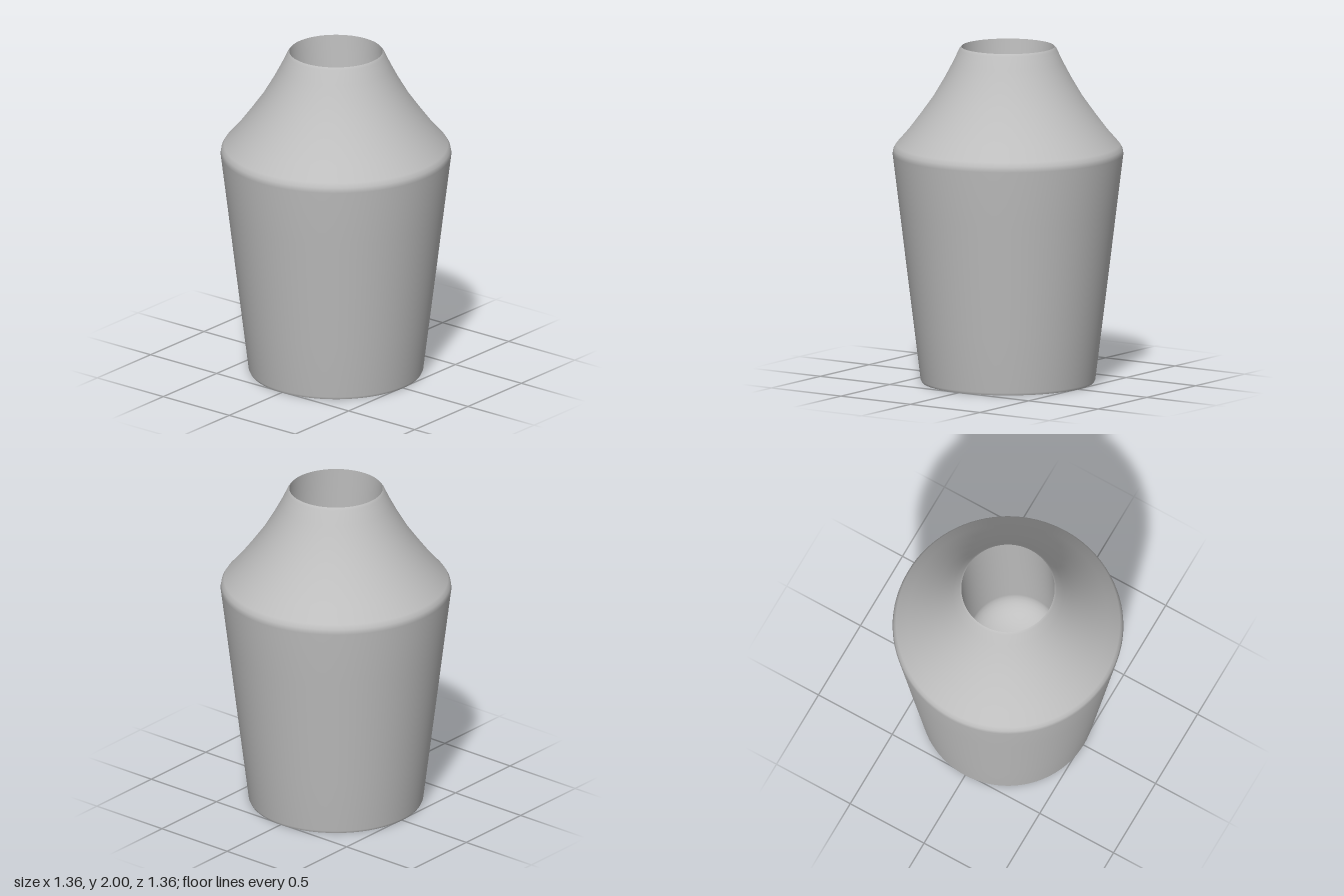
import * as THREE from 'three';

const SEGMENTS = 96;

// Revolve a list of [radius, height] pairs around the y axis.
function lathe(profile) {
  return new THREE.LatheGeometry(profile.map(([r, y]) => new THREE.Vector2(r, y)), SEGMENTS);
}

export function createModel() {
  const group = new THREE.Group();
  group.name = 'vase';
  const clay = new THREE.MeshStandardMaterial({ color: 0xbfbfbf });
  clay.name = 'grey clay';

  const add = (name, geometry) => {
    const mesh = new THREE.Mesh(geometry, clay);
    mesh.name = name;
    group.add(mesh);
    return mesh;
  };

  // Tapered body, rounded shoulder and concave neck
  add('body', lathe([
    [0.508, 0], [0.515, 0.015], [0.555, 0.34], [0.597, 0.68], [0.638, 1.02],
    [0.68, 1.36], [0.675, 1.39], [0.66, 1.415], [0.59, 1.495], [0.515, 1.595],
    [0.44, 1.70], [0.375, 1.81], [0.325, 1.905], [0.287, 1.985], [0.275, 2],
  ]));

  // Flat underside
  const base = new THREE.CircleGeometry(0.508, SEGMENTS);
  base.rotateX(Math.PI / 2);
  add('base', base);

  // Round-ended bore, leaning slightly forward as it goes down
  const radius = 0.275, domeTop = 0.95, domeHeight = 0.2;
  const bore = [[radius, 2], [radius, 1.5], [radius, domeTop]];
  for (let i = 1; i <= 10; i++) {
    const a = (i / 10) * Math.PI / 2;
    bore.push([i === 10 ? 0 : radius * Math.cos(a), domeTop - domeHeight * Math.sin(a)]);
  }
  const inside = lathe(bore);
  const lean = 0.08 / (2 - domeTop);
  inside.applyMatrix4(new THREE.Matrix4().set(
    1, 0, 0, 0,
    0, 1, 0, 0,
    0, -lean, 1, 2 * lean,
    0, 0, 0, 1,
  ));
  add('bore', inside);

  return group;
}
